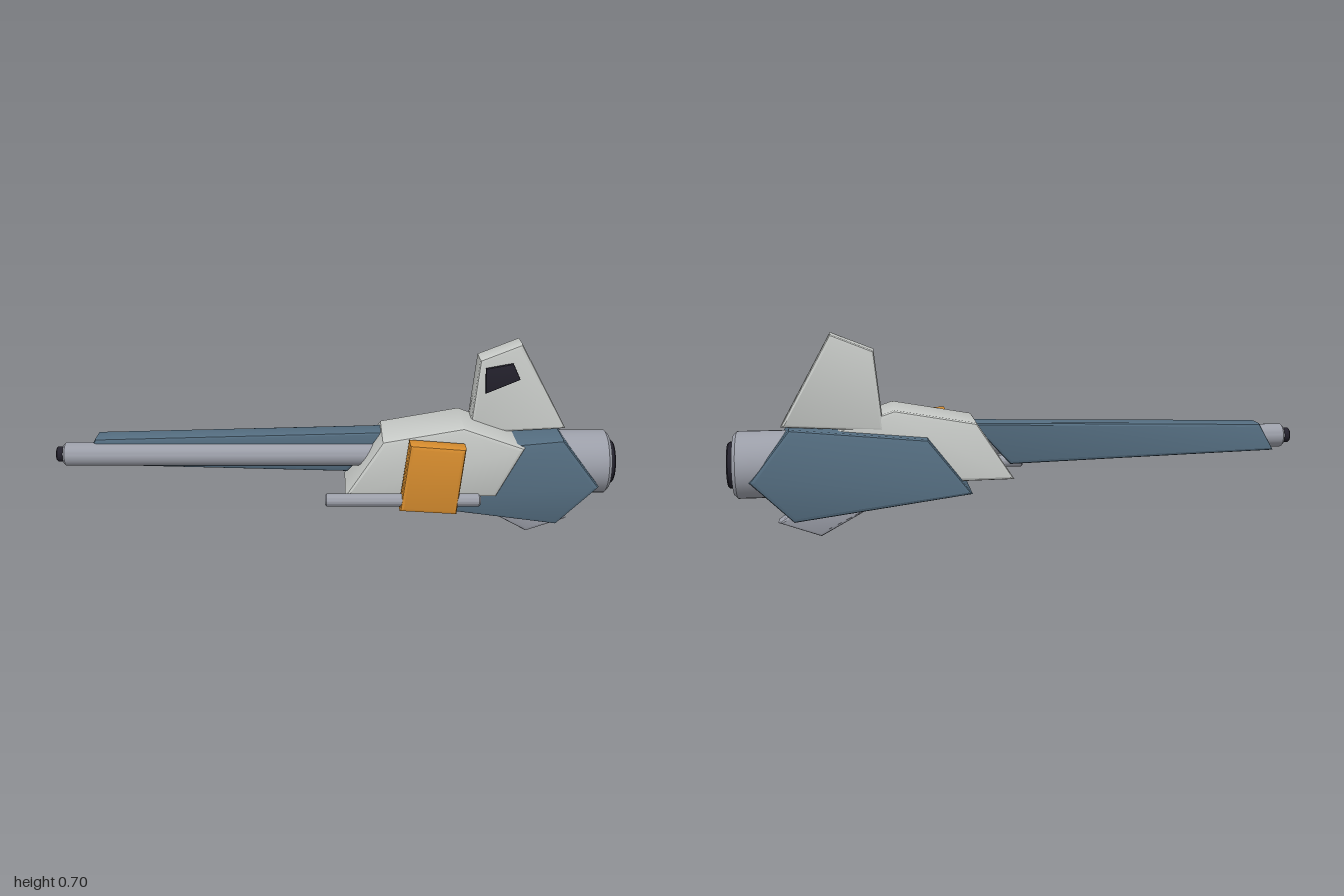
import * as THREE from 'three';
import { toCreasedNormals } from 'three/addons/utils/BufferGeometryUtils.js';

const mat = (name, color) => {
  const m = new THREE.MeshStandardMaterial({ color });
  m.name = name;
  return m;
};

export function createModel() {
  const group = new THREE.Group();
  const pale = mat('pale grey', 0xc6c9c6);
  const blue = mat('slate blue', 0x546d80);
  const steel = mat('steel grey', 0x9b9ea8);
  const dark = mat('dark glass', 0x23212c);
  const orange = mat('orange', 0xd68c2e);

  const add = (name, geometry, material) => {
    const mesh = new THREE.Mesh(toCreasedNormals(geometry, 0.5), material);
    mesh.name = name;
    group.add(mesh);
  };

  // Bevelled slab: side profile in x, y filling z0..z1
  const slab = (name, material, points, z0, z1, bevel = 0.014) => {
    const shape = new THREE.Shape(points.map(p => new THREE.Vector2(...p)));
    const g = new THREE.ExtrudeGeometry(shape, {
      depth: z1 - z0 - 2 * bevel, bevelThickness: bevel, bevelSize: bevel,
      bevelOffset: -bevel, bevelSegments: 2,
    });
    g.translate(0, 0, z0 + bevel);
    add(name, g, material);
  };

  // Rod along x with chamfered ends
  const rod = (name, material, x0, x1, y, z, r, c) => {
    const l = x1 - x0;
    const profile = [[0, 0], [r - c, 0], [r, c], [r, l - c], [r - c, l], [0, l]];
    const g = new THREE.LatheGeometry(profile.map(p => new THREE.Vector2(...p)), 32);
    g.rotateZ(-Math.PI / 2).translate(x0, y, z);
    add(name, g, material);
  };

  // Hull
  slab('rearBody', blue, [[0.18, 0.153], [0.78, 0.073], [0.925, 0.213], [0.79, 0.389], [0.33, 0.345]], -0.19, 0.095);
  slab('midBody', pale, [[0.03, 0.19], [0.56, 0.185], [0.655, 0.365], [0.44, 0.44], [0.16, 0.39]], -0.14, 0.114);

  // Barrel and its side shroud
  rod('barrel', steel, -0.975, 0.25, 0.302, -0.014, 0.042, 0.008);
  rod('muzzle', dark, -1, -0.96, 0.302, -0.014, 0.027, 0.004);
  slab('barrelShroud', blue, [[-0.915, 0.262], [0.04, 0.236], [0.175, 0.386], [-0.86, 0.36]], -0.1, -0.005, 0.012);

  // Fins
  slab('topFin', pale, [[0.475, 0.37], [0.82, 0.39], [0.65, 0.7], [0.505, 0.642]], -0.142, -0.033, 0.012);
  slab('finWindow', dark, [[0.525, 0.527], [0.645, 0.578], [0.618, 0.636], [0.522, 0.618]], -0.026, -0.009, 0.005);
  slab('bottomFin', steel, [[0.46, 0.13], [0.695, 0], [0.84, 0.052], [0.77, 0.1]], -0.096, -0.013, 0.012);

  // Side pod and its rod
  slab('sidePod', orange, [[0.218, 0.162], [0.415, 0.15], [0.442, 0.39], [0.25, 0.405]], 0.115, 0.192, 0.013);
  rod('podRod', steel, -0.04, 0.498, 0.197, 0.166, 0.022, 0.006);

  // Engine
  rod('engine', steel, 0.72, 0.98, 0.255, -0.069, 0.115, 0.012);
  rod('engineNozzle', dark, 0.95, 1, 0.255, -0.069, 0.079, 0.005);

  return group;
}
